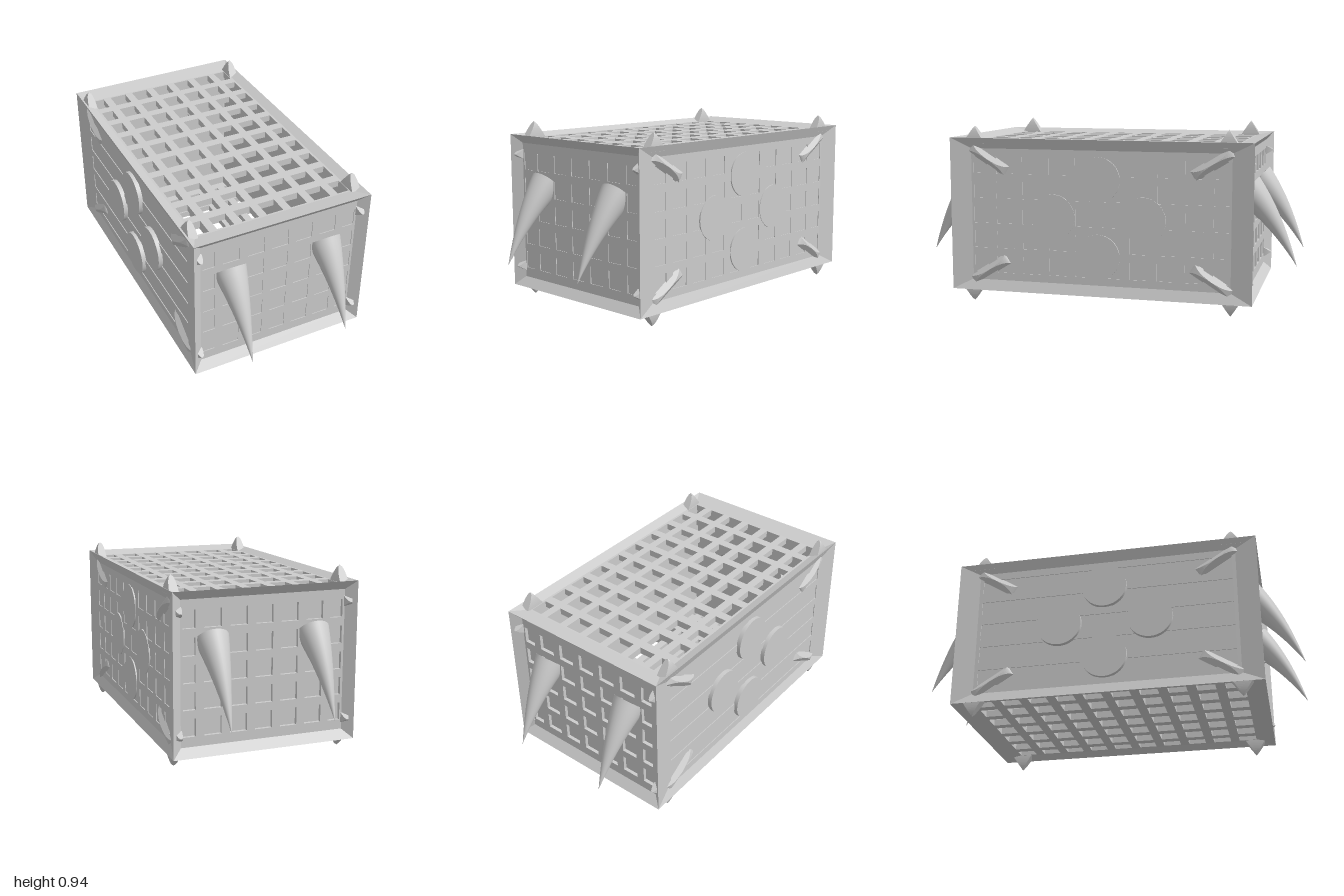
import * as THREE from 'three';

const W = 0.96, H = 0.81, L = 1.6, CY = 0.47;
const mat = new THREE.MeshStandardMaterial({ color: 0xcccccc, side: THREE.DoubleSide });
const flat = new THREE.MeshStandardMaterial({ color: 0xcccccc, side: THREE.DoubleSide, flatShading: true });

function add(parent, name, geometry, material = mat) {
  const mesh = new THREE.Mesh(geometry, material);
  mesh.name = name;
  parent.add(mesh);
  return mesh;
}

// Four sloping strips leading from the outer edge down to a sunken panel
function bevelFrame(w, h, bw, bh, d) {
  const ring = (x, y, z) => [[-x, -y, z], [x, -y, z], [x, y, z], [-x, y, z]];
  const o = ring(w / 2, h / 2, 0), n = ring(w / 2 - bw, h / 2 - bh, -d), pos = [];
  for (let i = 0; i < 4; i++) {
    const j = (i + 1) % 4;
    pos.push(...o[i], ...o[j], ...n[j], ...o[i], ...n[j], ...n[i]);
  }
  const g = new THREE.BufferGeometry();
  g.setAttribute('position', new THREE.Float32BufferAttribute(pos, 3));
  g.computeVertexNormals();
  return g;
}

const rect = (path, x0, y0, x1, y1) =>
  path.moveTo(x0, y0).lineTo(x1, y0).lineTo(x1, y1).lineTo(x0, y1).closePath();

// Plate pierced by rows and columns of openings, its front at z = 0
function lattice(w, h, depth, cols, rows) {
  const shape = new THREE.Shape();
  rect(shape, -w / 2, -h / 2, w / 2, h / 2);
  const cells = ({ n, pitch, size }, limit) => Array.from({ length: n }, (_, i) => {
    const c = (i - (n - 1) / 2) * pitch;
    return [Math.max(c - size / 2, -limit), Math.min(c + size / 2, limit)];
  });
  for (const [x0, x1] of cells(cols, w / 2 - 0.012))
    for (const [y0, y1] of cells(rows, h / 2 - 0.005)) {
      const hole = new THREE.Path();
      rect(hole, x0, y0, x1, y1);
      shape.holes.push(hole);
    }
  return new THREE.ExtrudeGeometry(shape, { depth, bevelEnabled: false }).translate(0, 0, -depth);
}

// Spike with a rounded outline one way and a sharp wedge the other, pointing along +y
function wedge(a, b, h) {
  const g = new THREE.BoxGeometry(2, 1, 2, 1, 10, 1);
  const p = g.attributes.position;
  for (let i = 0; i < p.count; i++) {
    const t = p.getY(i) + 0.5;
    p.setXYZ(i, p.getX(i) * a * Math.sqrt(Math.max(0, 1 - t * t)), t * h, p.getZ(i) * b * (1 - t));
  }
  g.computeVertexNormals();
  return g;
}

// Curved horn: circles of shrinking radius swept along a bent path in the yz plane
function horn() {
  const curve = new THREE.QuadraticBezierCurve3(
    new THREE.Vector3(0, 0.63, 0.74), new THREE.Vector3(0, 0.48, 0.89), new THREE.Vector3(0, 0.235, 1));
  const rows = 20, sides = 32;
  const g = new THREE.CylinderGeometry(1, 1, 1, sides, rows, true);
  const p = g.attributes.position;
  for (let i = 0; i < p.count; i++) {
    const t = p.getY(i) + 0.5, c = curve.getPoint(t), d = curve.getTangent(t);
    const r = 0.085 * (1 - t), x = p.getX(i) * r, n = p.getZ(i) * r;
    p.setXYZ(i, x, c.y - n * d.z, c.z + n * d.y);
  }
  g.computeVertexNormals();
  return g;
}

export function createModel() {
  const model = new THREE.Group();
  const colsX = { n: 7, pitch: 0.133, size: 0.09 };
  const colsZ = { n: 10, pitch: 0.144, size: 0.095 };
  const rowsY = { n: 5, pitch: 0.1325, size: 0.09 };
  const slot = { n: 1, pitch: 0, size: 1.34 };

  // Six walls, each a bevelled frame around a sunken grid; gap is the depth of its backing
  const walls = [
    { name: 'front', rot: [0, 0, 0], at: [0, CY, L / 2], w: W, h: H, bw: 0.05, bh: 0.045, d: 0.04, c: colsX, r: rowsY, gap: 0.004 },
    { name: 'back', rot: [0, Math.PI, 0], at: [0, CY, -L / 2], w: W, h: H, bw: 0.05, bh: 0.045, d: 0.04, c: colsX, r: rowsY, gap: 0.018 },
    { name: 'left', rot: [0, Math.PI / 2, 0], at: [W / 2, CY, 0], w: L, h: H, bw: 0.11, bh: 0.055, d: 0.022, c: colsZ, r: rowsY, gap: 0.004, disc: 0.003 },
    { name: 'right', rot: [0, -Math.PI / 2, 0], at: [-W / 2, CY, 0], w: L, h: H, bw: 0.11, bh: 0.055, d: 0.022, c: slot, r: rowsY, gap: 0.004, disc: 0.019 },
    { name: 'top', rot: [-Math.PI / 2, 0, 0], at: [0, CY + H / 2, 0], w: W, h: L, bw: 0.05, bh: 0.095, d: 0.02, c: colsX, r: colsZ },
    { name: 'bottom', rot: [Math.PI / 2, 0, 0], at: [0, CY - H / 2, 0], w: W, h: L, bw: 0.05, bh: 0.095, d: 0.02, c: colsX, r: colsZ },
  ];
  for (const s of walls) {
    const wall = new THREE.Group();
    wall.name = s.name + 'Wall';
    wall.rotation.set(...s.rot);
    wall.position.set(...s.at);
    model.add(wall);
    const w = s.w - 2 * s.bw, h = s.h - 2 * s.bh;
    add(wall, 'bevelFrame', bevelFrame(s.w, s.h, s.bw, s.bh, s.d));
    add(wall, 'lattice', lattice(w, h, s.gap ?? 0.035, s.c, s.r)).position.z = -s.d;
    if (s.gap) {
      const t = 0.035 - s.gap;
      add(wall, 'backing', new THREE.BoxGeometry(w, h, t)).position.z = -s.d - s.gap - t / 2;
    }
    // Diamond of four round discs on the long sides
    if (s.disc) {
      for (const [x, y] of [[0.24, 0], [-0.24, 0], [0, 0.2], [0, -0.2]]) {
        const disc = add(wall, 'disc', new THREE.CylinderGeometry(0.118, 0.118, s.disc + 0.015, 40));
        disc.rotation.x = Math.PI / 2;
        disc.position.set(x, y, -s.d + (s.disc - 0.015) / 2);
      }
    }
  }

  // Two horns at each end
  const hornGeometry = horn();
  for (const end of [0, Math.PI])
    for (const x of [-0.265, 0.265]) {
      const h = add(model, 'horn', hornGeometry);
      h.rotation.y = end;
      h.position.x = x;
    }

  // Spikes breaking through the three walls at every corner
  const spike = wedge(0.024, 0.06, 0.09), tooth = wedge(0.018, 0.028, 0.05), barb = wedge(0.12, 0.035, 0.028);
  for (const sx of [-1, 1]) for (const sy of [-1, 1]) for (const sz of [-1, 1]) {
    const upright = add(model, 'cornerSpike', spike, flat);
    upright.position.set(sx * 0.445, sy > 0 ? 0.847 : 0.09, sz * (sy > 0 ? 0.67 : 0.69));
    if (sy < 0) upright.rotation.x = Math.PI;

    const front = add(model, 'cornerTooth', tooth, flat);
    front.rotation.x = sz * Math.PI / 2;
    front.position.set(sx * 0.443, CY + sy * 0.3, sz * 0.756);

    const side = new THREE.Group();
    side.name = 'cornerBarb';
    side.rotation.y = sx * Math.PI / 2;
    side.position.set(sx * 0.45, CY + sy * 0.295, sz * 0.595);
    const b = add(side, 'barb', barb, flat);
    b.rotation.set(Math.PI / 2, 0, -sx * sy * sz * 0.56, 'ZXY');
    model.add(side);
  }
  return model;
}
